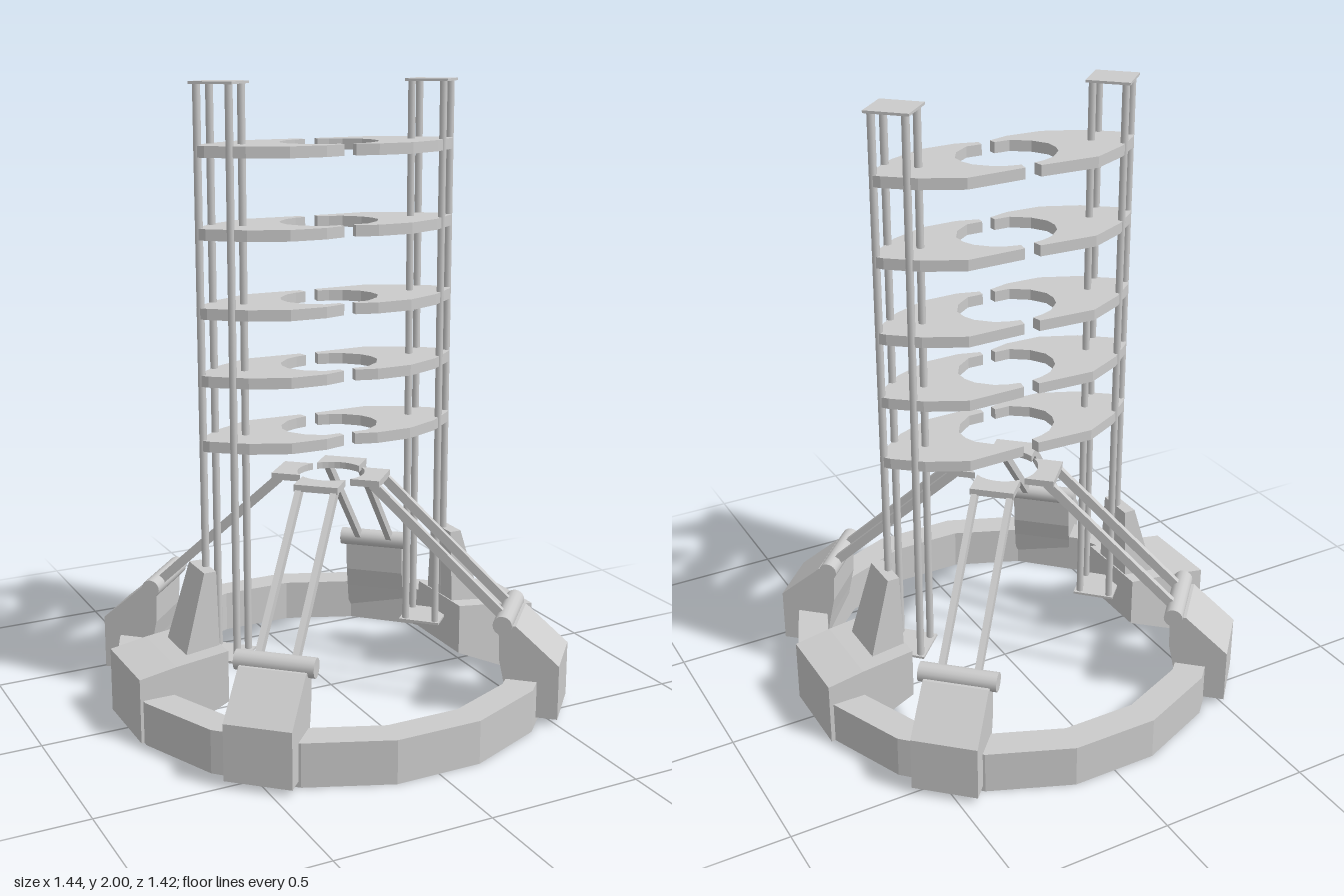
import * as THREE from 'three';

const mat = new THREE.MeshStandardMaterial({ color: 0xcccccc, flatShading: true });
const smoothMat = new THREE.MeshStandardMaterial({ color: 0xcccccc });

function add(parent, name, geometry, material = mat) {
  const mesh = new THREE.Mesh(geometry, material);
  mesh.name = name;
  parent.add(mesh);
  return mesh;
}

const toPoints = (pairs, sx = 1) => pairs.map(([a, b]) => new THREE.Vector2(a * sx, b));

const polygon = (r, n) => Array.from({ length: n }, (_, i) => {
  const a = ((i + 0.5) / n) * Math.PI * 2;
  return [r * Math.cos(a), r * Math.sin(a)];
});

// Horizontal slab from an outline in (x, z), with its top at y
function slab(outline, y, thickness, hole) {
  const shape = new THREE.Shape(outline);
  if (hole) shape.holes.push(new THREE.Path(hole));
  return new THREE.ExtrudeGeometry(shape, { depth: thickness, bevelEnabled: false })
    .rotateX(Math.PI / 2).translate(0, y, 0);
}

// Upright profile in (x, y), extruded from z0 to z1
function profile(outline, z0, z1) {
  return new THREE.ExtrudeGeometry(new THREE.Shape(outline), { depth: z1 - z0, bevelEnabled: false })
    .translate(0, 0, z0);
}

// Foot, hinge, struts and collar segment; local +x points outward
function createLeg() {
  const leg = new THREE.Group();
  leg.name = 'supportLeg';
  add(leg, 'foot', profile(toPoints([
    [0.62, 0.02], [0.775, 0.02], [0.775, 0.2], [0.635, 0.32], [0.58, 0.32], [0.585, 0.2], [0.6, 0.13],
  ]), -0.105, 0.105));
  const hinge = add(leg, 'hingeCylinder',
    new THREE.CylinderGeometry(0.031, 0.031, 0.25, 16).rotateX(Math.PI / 2), smoothMat);
  hinge.position.set(0.595, 0.325, 0);

  // Inclined pair of struts
  const from = new THREE.Vector2(0.59, 0.33), to = new THREE.Vector2(0.155, 0.735);
  const span = to.clone().sub(from);
  for (const s of [-1, 1]) {
    const strut = add(leg, 'strut', new THREE.BoxGeometry(span.length(), 0.03, 0.02));
    strut.position.set((from.x + to.x) / 2, (from.y + to.y) / 2, s * 0.058);
    strut.rotation.z = span.angle();
  }

  // Collar segment with a concave inner edge
  const h = 0.072, reach = Math.asin(h / 0.11);
  const outline = toPoints([[0.18, -h], [0.18, h]]);
  for (let i = 0; i <= 8; i++) {
    const a = reach * (1 - i / 4);
    outline.push(new THREE.Vector2(0.11 * Math.cos(a), 0.11 * Math.sin(a)));
  }
  add(leg, 'collarSegment', slab(outline, 0.75, 0.022));
  return leg;
}

// Rod tower with shelves and its base block; side = 1 or -1
function createTower(side) {
  const tower = new THREE.Group();
  tower.name = side > 0 ? 'leftTower' : 'rightTower';
  const zc = -0.015, xc = side * 0.367;

  add(tower, 'baseBlock', profile(toPoints([
    [0.425, 0.08], [0.6, 0], [0.72, 0], [0.72, 0.21], [0.6, 0.23], [0.425, 0.25],
  ], side), -0.15, 0.125));

  // Tapered post on the block
  const post = new THREE.BoxGeometry(0.115, 0.26, 0.165);
  const p = post.attributes.position;
  for (let i = 0; i < p.count; i++) {
    if (p.getY(i) < 0) continue;
    if (p.getX(i) * side > 0) p.setX(i, side * -0.017);
    p.setZ(i, p.getZ(i) * 0.77);
  }
  post.computeVertexNormals();
  add(tower, 'taperedPost', post).position.set(side * 0.4875, 0.36, zc);

  // Four rods in a diamond between end plates
  for (let i = 0; i < 4; i++) {
    const a = (i * Math.PI) / 2;
    add(tower, 'rod', new THREE.CylinderGeometry(0.012, 0.012, 1.82, 10), smoothMat)
      .position.set(xc + 0.072 * Math.cos(a), 1.085, zc + 0.075 * Math.sin(a));
  }
  for (const [name, y] of [['topPlate', 1.996], ['bottomPlate', 0.18]]) {
    const plate = add(tower, name, new THREE.BoxGeometry(0.139, 0.008, 0.139));
    plate.position.set(xc, y, zc);
    plate.rotation.y = Math.PI / 4;
  }

  // Clamp-shaped shelves
  const outline = toPoints([
    [0.022, -0.14], [0.027, -0.172], [0.22, -0.178], [0.345, -0.115], [0.43, -0.045], [0.452, -0.015],
    [0.43, 0.015], [0.33, 0.095], [0.21, 0.147], [0.09, 0.15], [0.02, 0.13], [0.022, 0.105],
    [0.075, 0.105], [0.13, 0.065], [0.16, 0.015], [0.16, -0.03], [0.145, -0.07], [0.1, -0.115], [0.06, -0.132],
  ], side);
  for (const y of [0.905, 1.112, 1.323, 1.565, 1.812]) add(tower, 'shelf', slab(outline, y, 0.035));
  return tower;
}

export function createModel() {
  const model = new THREE.Group();
  model.name = 'launchStand';
  add(model, 'baseRing', slab(toPoints(polygon(0.724, 16)), 0.14, 0.14, toPoints(polygon(0.622, 16))));
  for (let i = 0; i < 4; i++) {
    const leg = createLeg();
    leg.rotation.y = THREE.MathUtils.degToRad(47.3 + i * 90);
    model.add(leg);
  }
  for (const side of [1, -1]) model.add(createTower(side));
  return model;
}
